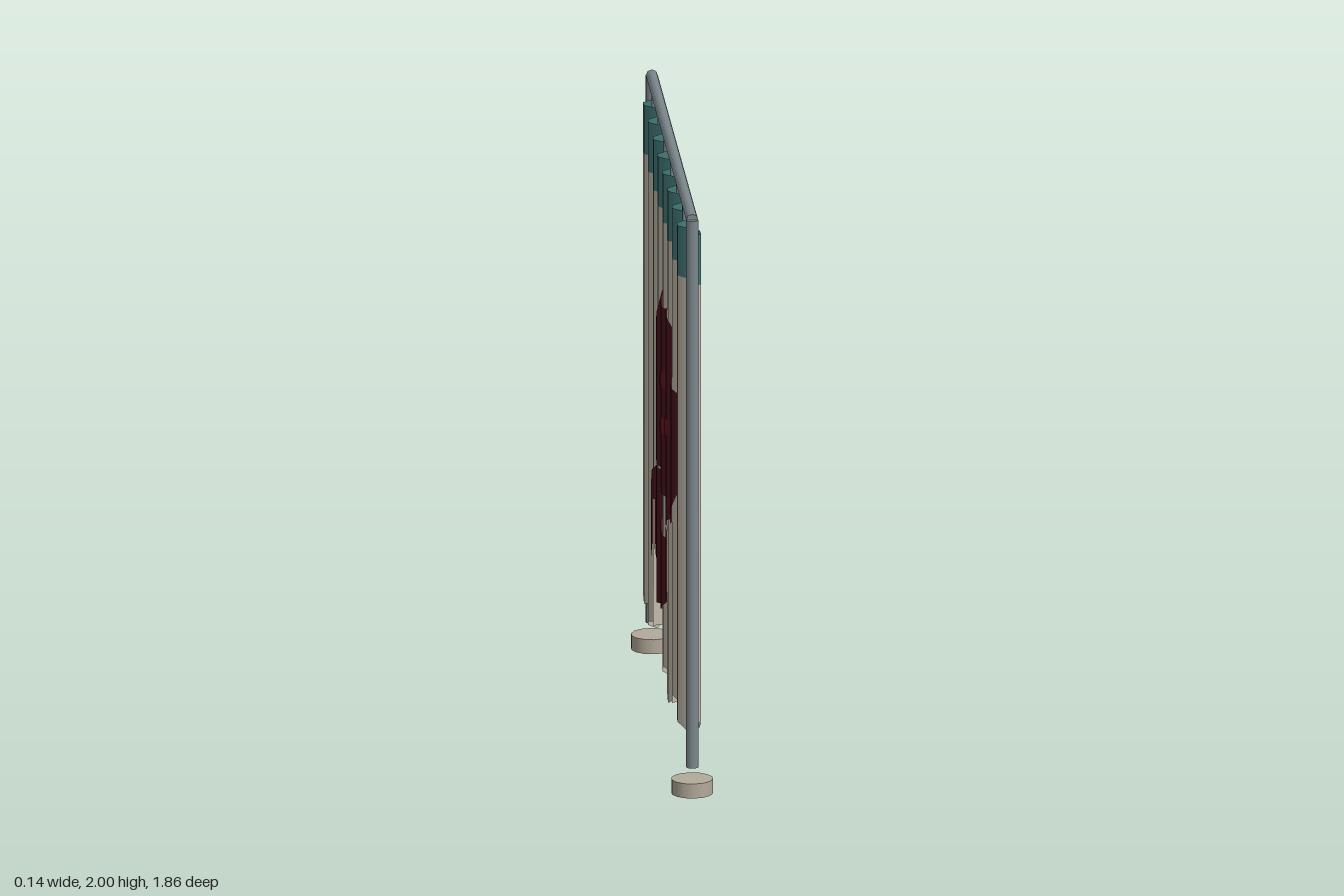
import * as THREE from 'three';

const HALF = 0.82, COLS = 48, W = (2 * HALF) / COLS, AMP = 0.04, K = (2 * Math.PI * 8) / (2 * HALF);
const TOP = 1.91;

const mat = (color, extra = {}) => new THREE.MeshStandardMaterial({ color, ...extra });
const metal = mat(0x7d888d);
const stone = mat(0xb3aa9a);
const cloth = mat(0xc4bcac, { side: THREE.DoubleSide });
const teal = mat(0x437a78, { side: THREE.DoubleSide });
const stainMat = mat(0x4a141c, { side: THREE.DoubleSide });
const streakMat = mat(0x5e161c, { side: THREE.DoubleSide });

// Pleats: straight facets between the column lines
const wave = (z) => -AMP * Math.sin(K * z);
function fold(z) {
  const i = Math.floor(z / W + 1e-6), t = z / W - i;
  return wave(i * W) * (1 - t) + wave((i + 1) * W) * t;
}

// Value at z of a line of [z, y] points, listed from +z to -z
function along(pts, z) {
  if (z >= pts[0][0]) return pts[0][1];
  for (let i = 1; i < pts.length; i++) {
    const [z0, y0] = pts[i - 1], [z1, y1] = pts[i];
    if (z >= z1) return y0 + ((y1 - y0) * (z0 - z)) / (z0 - z1);
  }
  return pts[pts.length - 1][1];
}

// Hem zigzag, and the stepped tear that cuts some columns short
const hem = [[.82, .19], [.79, .23], [.72, .165], [.665, .21], [.57, .145], [.48, .23], [.43, .175], [.365, .215],
  [.275, .14], [.165, .215], [.12, .175], [.07, .21], [-.01, .145], [-.1, .22], [-.375, .22], [-.425, .21],
  [-.47, .165], [-.525, .2], [-.615, .14], [-.7, .21], [-.735, .18], [-.82, .22]];
const tear = [.37, .52, .88, 1.05, 1.23, .86, .67, .36];
const tearAt = (z) => tear[Math.floor(-z / W) - 3];

// Pleated cloth from strips [z0, lo0, hi0, z1, lo1, hi1]
function drape(name, strips, material, offset = 0) {
  const pos = [], nor = [];
  const put = (z, y) => {
    pos.push(fold(z) + offset, y, z);
    const slope = -AMP * K * Math.cos(K * z), len = Math.hypot(1, slope);
    nor.push(1 / len, 0, -slope / len);
  };
  for (const [a, al, ah, b, bl, bh] of strips) {
    put(a, al); put(b, bl); put(b, bh);
    put(a, al); put(b, bh); put(a, ah);
  }
  const g = new THREE.BufferGeometry();
  g.setAttribute('position', new THREE.Float32BufferAttribute(pos, 3));
  g.setAttribute('normal', new THREE.Float32BufferAttribute(nor, 3));
  const mesh = new THREE.Mesh(g, material);
  mesh.name = name;
  return mesh;
}

// Blot between an upper and a lower line, cut off at the tear, on both faces
function blot(name, hi, lo, material = stainMat, offset = 0.006) {
  const strips = [], step = W / 4;
  const start = hi[0][0], end = hi[hi.length - 1][0];
  for (let i = Math.ceil(start / step); i * step > end; i--) {
    const a = Math.min(start, i * step), b = Math.max(end, (i - 1) * step);
    if (a - b < 1e-5) continue;
    const cut = tearAt((a + b) / 2) ?? 0;
    const al = Math.max(along(lo, a), cut), bl = Math.max(along(lo, b), cut);
    const ah = Math.max(along(hi, a), al), bh = Math.max(along(hi, b), bl);
    strips.push([a, al, ah, b, bl, bh]);
  }
  const group = new THREE.Group();
  group.name = name;
  for (const s of [1, -1]) group.add(drape(name + (s > 0 ? 'Right' : 'Left'), strips, material, s * offset));
  return group;
}

function rod(name, radius, length, x, y, z, material, sides = 8) {
  const m = new THREE.Mesh(new THREE.CylinderGeometry(radius, radius, length, sides), material);
  m.name = name;
  m.position.set(x, y, z);
  return m;
}

export function createModel() {
  const model = new THREE.Group();
  model.name = 'tornCurtainScreen';

  // Frame: posts, feet and top rail
  for (const [end, s] of [['front', 1], ['back', -1]]) {
    model.add(rod(end + 'Post', 0.021, 1.89, 0, 1.035, s * 0.863, metal, 10));
    model.add(rod(end + 'Foot', 0.07, 0.05, 0, 0.025, s * 0.86, stone, 14));
  }
  const rail = rod('topRail', 0.02, 1.726, 0, 1.98, 0, metal);
  rail.rotation.x = Math.PI / 2;
  model.add(rail);

  // Hooks
  for (const z of [-0.79, -0.53, -0.265, 0, 0.265, 0.53, 0.79])
    model.add(rod('hook', 0.008, 0.09, 0, 1.925, z, metal, 6));

  // Curtain and its header band
  const body = [], band = [];
  for (let i = 0; i < COLS; i++) {
    const a = HALF - i * W, b = a - W, torn = tearAt((a + b) / 2);
    const seam = (z) => 1.737 + 0.004 * Math.sin(23 * z);
    body.push([a, torn ?? along(hem, a), seam(a), b, torn ?? along(hem, b), seam(b)]);
    band.push([a, seam(a), TOP, b, seam(b), TOP]);
  }
  model.add(drape('curtain', body, cloth), drape('headerBand', band, teal));

  // Stains
  model.add(blot('largeStain',
    [[.52, 1.17], [.505, 1.27], [.43, 1.32], [.38, 1.33], [.34, 1.38], [.31, 1.41], [.26, 1.5], [.19, 1.465], [.11, 1.475],
      [.08, 1.445], [-.01, 1.505], [-.075, 1.47], [-.115, 1.475], [-.14, 1.36], [-.205, 1.335], [-.25, 1.255], [-.29, 1.215]],
    [[.52, 1.12], [.505, .95], [.455, .81], [.39, .825], [.345, .815], [.285, .78], [.195, .715], [.14, .76], [.03, .83],
      [-.075, .81], [-.17, .87], [-.18, 1], [-.2, 1.1], [-.235, 1.22], [-.275, 1.175], [-.29, 1.21]]));
  model.add(blot('lowerStain',
    [[.105, .48], [.09, .645], [.03, .71], [-.04, .77], [-.075, .82], [-.171, .845]],
    [[.105, .46], [.065, .41], [.01, .39], [-.02, .335], [-.06, .305], [-.171, .305]]));
  model.add(blot('dripStain',
    [[.268, .68], [.255, .75], [.235, .74], [.222, .65]],
    [[.268, .55], [.245, .44], [.235, .5], [.222, .62]]));
  model.add(blot('edgeStain',
    [[-.3075, .815], [-.365, .74], [-.375, .68], [-.41, .64], [-.415, .59]],
    [[-.3075, .6], [-.342, .47], [-.375, .49], [-.415, .57]]));

  // Brighter streaks inside the large stain
  model.add(blot('longStreak', [[.33, 1.11], [.24, 1.13], [.12, 1.09], [.02, 1.04]],
    [[.33, 1.1], [.25, 1.05], [.1, 1.01], [.02, 1.02]], streakMat, 0.009));
  model.add(blot('shortStreak', [[.17, 1.22], [.1, 1.24], [-.02, 1.19]],
    [[.17, 1.21], [.1, 1.17], [-.02, 1.18]], streakMat, 0.009));
  return model;
}
